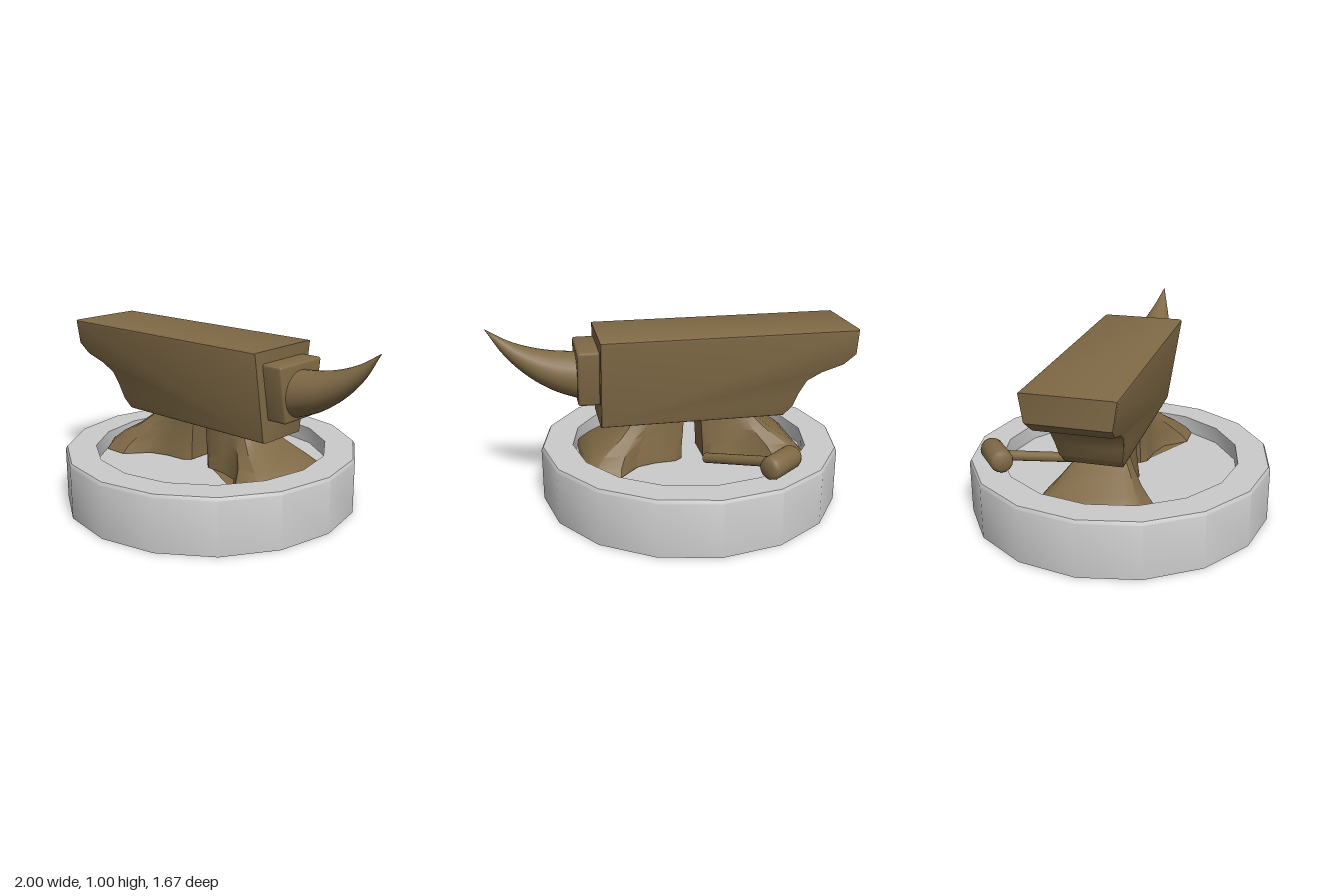
import * as THREE from 'three';
import { toCreasedNormals } from 'three/addons/utils/BufferGeometryUtils.js';
import { RoundedBoxGeometry } from 'three/addons/geometries/RoundedBoxGeometry.js';

const V = (x, y, z) => new THREE.Vector3(x, y, z);

// Skin over a list of rings, each counter-clockwise about the direction of travel
function loft(rings, crease) {
  const n = rings[0].length, last = (rings.length - 1) * n, index = [];
  for (let i = 0; i < rings.length - 1; i++) {
    for (let j = 0; j < n; j++) {
      const a = i * n + j, b = i * n + (j + 1) % n;
      index.push(a, b, b + n, a, b + n, a + n);
    }
  }
  for (let k = 1; k < n - 1; k++) index.push(0, k + 1, k, last, last + k, last + k + 1);
  const geo = new THREE.BufferGeometry().setFromPoints(rings.flat());
  geo.setIndex(index);
  return toCreasedNormals(geo, crease);
}

// Scale z linearly with height, from factor f0 at y0 to f1 at y1
function taper(geo, y0, f0, y1, f1) {
  const p = geo.attributes.position;
  for (let i = 0; i < p.count; i++) {
    p.setZ(i, p.getZ(i) * THREE.MathUtils.mapLinear(p.getY(i), y0, y1, f0, f1));
  }
  return geo;
}

export function createModel() {
  const group = new THREE.Group();
  const stone = new THREE.MeshStandardMaterial({ color: 0xcccccc, side: THREE.DoubleSide });
  const bronze = new THREE.MeshStandardMaterial({ color: 0x806a46 });
  const add = (name, geo, mat = bronze, parent = group) => {
    const mesh = new THREE.Mesh(geo, mat);
    mesh.name = name;
    parent.add(mesh);
    return mesh;
  };

  // Sixteen-sided base: outer wall, rim and sunken floor, open underneath
  const basePoints = [[0.835, 0], [0.835, 0.295], [0.825, 0.312], [0.66, 0.312], [0.66, 0.22], [0, 0.22]]
    .map(([r, y]) => new THREE.Vector2(r, y));
  add('base', toCreasedNormals(new THREE.LatheGeometry(basePoints, 16), 0.6), stone).position.x = -0.1;

  // Anvil body: side profile with a stepped heel, narrowing downwards
  const profile = [[0.415, 0.46], [0.415, 0.955], [-1, 0.955], [-1, 0.81], [-0.93, 0.75], [-0.81, 0.71],
    [-0.73, 0.665], [-0.69, 0.59], [-0.66, 0.51], [-0.61, 0.46]].map(([x, y]) => new THREE.Vector2(x, y));
  const bevel = 0.015, halfWidth = 0.235;
  const body = new THREE.ExtrudeGeometry(new THREE.Shape(profile), {
    depth: 2 * (halfWidth - bevel), bevelEnabled: true, bevelSize: bevel,
    bevelThickness: bevel, bevelOffset: -bevel, bevelSegments: 2,
  });
  body.translate(0, 0, -(halfWidth - bevel));
  add('anvilBody', toCreasedNormals(taper(body, 0.46, 0.67, 0.955, 1), 0.6));

  // Collar between body and horn
  const collar = new RoundedBoxGeometry(0.14, 0.31, 0.35, 2, 0.015);
  collar.translate(0.46, 0.735, 0);
  add('hornCollar', toCreasedNormals(taper(collar, 0.58, 0.7, 0.89, 1), 0.6));

  // Horn: rings between a lower and an upper curve; the third value is half width
  const lower = new THREE.CatmullRomCurve3([V(0.52, 0.593, 0.13), V(0.65, 0.645, 0.115), V(0.78, 0.73, 0.085),
    V(0.9, 0.85, 0.045), V(0.995, 1, 0.001)]);
  const upper = new THREE.CatmullRomCurve3([V(0.52, 0.85, 0), V(0.65, 0.863, 0), V(0.77, 0.89, 0),
    V(0.88, 0.932, 0), V(0.994, 1.001, 0)]);
  const hornRings = [];
  for (let i = 0; i <= 16; i++) {
    const lo = lower.getPoint(i / 16), up = upper.getPoint(i / 16), ring = [];
    for (let j = 0; j < 24; j++) {
      const a = j / 24 * Math.PI * 2, c = (1 + Math.cos(a)) / 2;
      ring.push(V(lo.x + (up.x - lo.x) * c, lo.y + (up.y - lo.y) * c, lo.z * Math.sin(a)));
    }
    hornRings.push(ring);
  }
  add('horn', loft(hornRings, 0.8));

  // Two feet, flaring from a narrow neck to a splayed outer end
  const neck = [[-0.05, 0.1], [0, 0.11], [0.08, 0.11], [0.15, 0.11], [0.2, 0.11], [0.25, 0.11], [0.27, 0.09]];
  const sole = [[-0.038, 0.1], [0, 0.135], [0.12, 0.145], [0.23, 0.18], [0.33, 0.3], [0.47, 0.3], [0.52, 0.235]];
  const levels = [[0.225, 1, 1], [0.265, 0.95, 0.83], [0.315, 0.74, 0.58], [0.385, 0.29, 0.28], [0.44, 0.03, 0.06], [0.47, 0, 0]];
  const footRings = levels.map(([y, tx, tz]) => {
    const side = neck.map(([x, z], k) => V(x + (sole[k][0] - x) * tx, y, z + (sole[k][1] - z) * tz));
    return [...side, ...side.map((p) => V(p.x, p.y, -p.z)).reverse()];
  });
  const footGeo = loft(footRings, 0.6);
  add('hornSideFoot', footGeo);
  const heelFoot = add('heelSideFoot', footGeo);
  heelFoot.rotation.y = Math.PI;
  heelFoot.position.x = -0.2;

  // Hammer resting on the rim, its handle sloping down to the floor
  const hammer = new THREE.Group();
  hammer.name = 'hammer';
  group.add(hammer);
  const centre = V(-0.46, 0.377, -0.59), up = V(0, 1, 0);
  const headPoints = [[0, -0.12], [0.04, -0.12], [0.056, -0.11], [0.063, -0.09], [0.063, 0.09], [0.056, 0.11], [0.04, 0.12], [0, 0.12]]
    .map(([r, y]) => new THREE.Vector2(r, y));
  const head = add('hammerHead', toCreasedNormals(new THREE.LatheGeometry(headPoints, 16), 0.8), bronze, hammer);
  head.position.copy(centre);
  head.quaternion.setFromUnitVectors(up, V(0.77, 0, -0.64).normalize());
  const end = V(-0.15, 0.268, -0.22);
  const handle = add('hammerHandle', new THREE.CylinderGeometry(0.028, 0.028, centre.distanceTo(end), 12), bronze, hammer);
  handle.position.lerpVectors(centre, end, 0.5);
  handle.quaternion.setFromUnitVectors(up, end.clone().sub(centre).normalize());

  return group;
}
